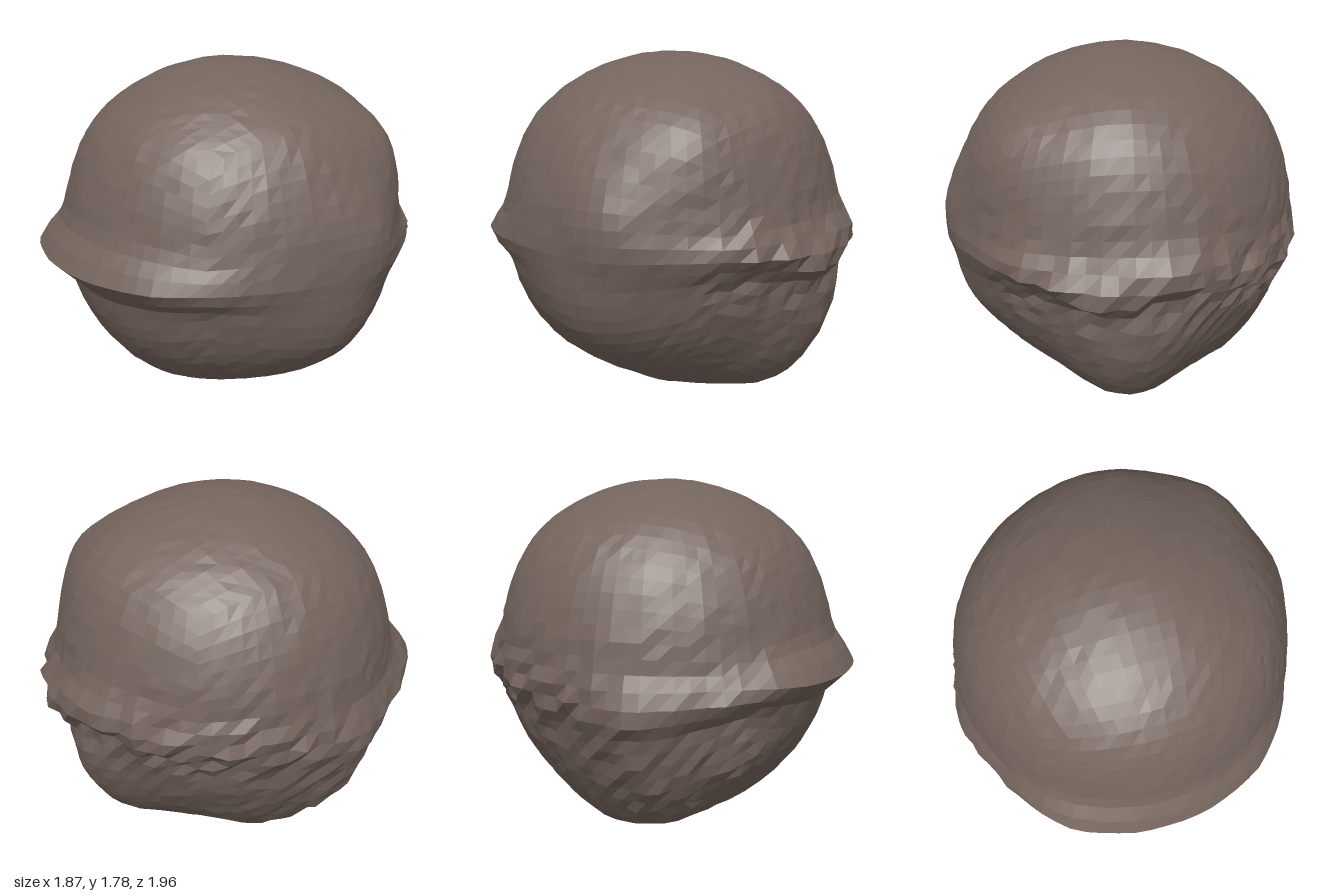
import * as THREE from 'three';

const { smoothstep, lerp } = THREE.MathUtils;
const bell = (x, width) => Math.exp(-((x / width) ** 2));

// repeatable noise in -1..1 for a direction, so shared corners stay joined
function noise(v) {
  const k = Math.round(v.x * 500) * 12.9898 + Math.round(v.y * 500) * 78.233 + Math.round(v.z * 500) * 37.719;
  const s = Math.sin(k * 0.37 + 1) * 43758.5453;
  return (s - Math.floor(s)) * 2 - 1;
}

// broad swellings and hollows: direction, height, angular width
const swellings = [
  [1, 0.13, -0.2, 0.06, 0.28],
  [0.68, 0.52, -0.5, 0.055, 0.28],
  [0.15, 0.68, -0.7, 0.03, 0.3],
  [0.9, -0.4, -0.05, 0.055, 0.3],
  [-0.5, -0.85, -0.05, 0.085, 0.38],
  [0.35, -0.92, 0.2, -0.05, 0.4],
  [0.05, -0.72, -0.65, 0.11, 0.3],
  [0, -0.42, -0.9, 0.08, 0.3],
  [-0.6, -0.45, 0.62, 0.05, 0.18],
  [-0.95, -0.26, 0.12, 0.06, 0.25],
  [-0.75, -0.6, 0.25, 0.07, 0.3],
].map(([x, y, z, height, width]) => ({ dir: new THREE.Vector3(x, y, z).normalize(), height, width }));
const flankDir = swellings[10].dir;

// height of the ledge every 30 degrees, from the front round by the left
const ledge = [0.12, 0.11, 0.03, 0, 0.03, 0.09, 0.1, 0.05, 0.03, 0.03, 0.07, 0.14];
function ledgeHeight(angle) {
  const t = (angle / (Math.PI * 2) + 1) * ledge.length;
  const i = Math.floor(t);
  return lerp(ledge[i % ledge.length], ledge[(i + 1) % ledge.length], t - i);
}

function radiusAt(v) {
  // the dome is a little fuller than the underside
  let r = 0.87 + 0.013 * smoothstep(v.y, -0.1, 0.3) + 0.025 * bell(v.y - 0.65, 0.25);
  for (const s of swellings) r += s.height * bell(v.angleTo(s.dir), s.width);

  // ledge: slopes gently above, undercut below, sinking towards the right
  const angle = Math.atan2(v.x, v.z);
  const rough = smoothstep(-v.z - 0.5 * v.x, 0.1, 0.7);
  const sink = 0.05 + 0.1 * smoothstep(-v.x, 0.6, 0.95);
  const d = v.y + sink + rough * 0.04 * Math.sin(angle * 7);
  r += ledgeHeight(angle) * bell(d, d > 0 ? 0.13 : 0.08);

  // broken rock along the back ledge, the lower right flank and the underside
  const back = rough * bell(v.y + 0.12, 0.22);
  const flank = bell(v.angleTo(flankDir), 0.55);
  const under = smoothstep(-v.y, 0.85, 1);
  return r + noise(v) * (0.003 + 0.022 * back + 0.012 * flank + 0.01 * under);
}

export function createModel() {
  const group = new THREE.Group();
  group.name = 'boulder';

  // subdivided cube rounded into a ball, then pushed in and out
  const geo = new THREE.BoxGeometry(2, 2, 2, 19, 19, 19);
  const pos = geo.attributes.position;
  const v = new THREE.Vector3();
  const even = (c) => Math.tan((c * Math.PI) / 4);
  for (let i = 0; i < pos.count; i++) {
    v.fromBufferAttribute(pos, i);
    v.set(even(v.x), even(v.y), even(v.z)).normalize();
    v.multiplyScalar(radiusAt(v));
    pos.setXYZ(i, v.x, v.y, v.z);
  }

  // rest on the ground
  geo.computeBoundingBox();
  geo.translate(0, -geo.boundingBox.min.y, 0);
  geo.computeVertexNormals();

  const rock = new THREE.Mesh(geo, new THREE.MeshStandardMaterial({ color: 0x74645d, flatShading: true }));
  rock.name = 'rock';
  group.add(rock);
  return group;
}
